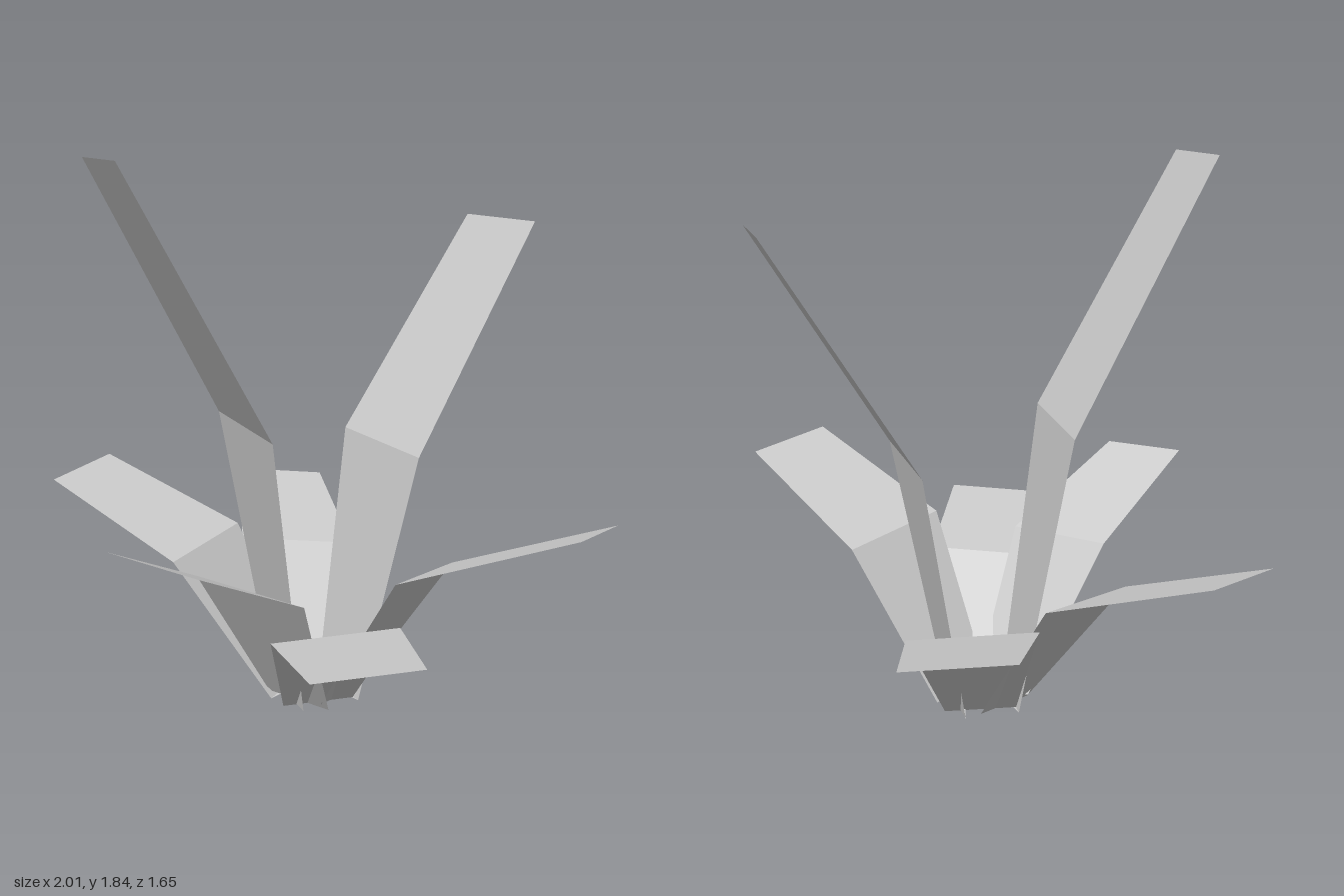
import * as THREE from 'three';

const leafGrey = new THREE.MeshStandardMaterial({ color: 0xcccccc, flatShading: true, side: THREE.DoubleSide });
leafGrey.name = 'leaf grey';

// Folded sheet running outward from the crown; rows are [radius, height, half width],
// roll tips the sheet sideways.
function blade(name, degrees, rows, roll = 0) {
  const points = [], index = [];
  rows.forEach(([r, y, w], i) => {
    points.push(-w, y - roll * w, r, w, y + roll * w, r);
    if (i > 0) {
      const a = 2 * i - 2;
      index.push(a, a + 2, a + 1, a + 1, a + 2, a + 3);
    }
  });
  const geometry = new THREE.BufferGeometry();
  geometry.setAttribute('position', new THREE.Float32BufferAttribute(points, 3));
  geometry.setIndex(index);
  geometry.computeVertexNormals();
  const mesh = new THREE.Mesh(geometry, leafGrey);
  mesh.name = name;
  mesh.rotation.y = THREE.MathUtils.degToRad(degrees);
  return mesh;
}

export function createModel() {
  const plant = new THREE.Group();
  plant.name = 'plant';
  const crown = new THREE.Group();
  crown.name = 'leafCrown';
  crown.position.z = -0.08;
  plant.add(crown);

  // Two tall upright leaves
  const tall = [
    { deg: -21.2, mid: [0.247, 0.975, 0.26], tip: [0.703, 1.835, 0.207] },
    { deg: 163.6, mid: [0.255, 0.875, 0.25], tip: [0.718, 1.62, 0.2] },
  ];
  for (const { deg, mid, tip } of tall) {
    crown.add(blade('tallLeaf', deg, [[0.07, 0.015, 0.035], [0.097, 0.01, 0.145], mid, tip]));
  }

  // Five low spreading leaves: fold and tip given as radius and height
  const low = [
    { deg: -125.5, mid: [0.439, 0.418], tip: [0.965, 0.55], roll: 0.09 },
    { deg: -73.5, mid: [0.442, 0.48], tip: [1.0, 0.685], roll: -0.08 },
    { deg: 15, mid: [0.396, 0.497], tip: [0.891, 0.728], roll: -0.07 },
    { deg: 55.3, mid: [0.434, 0.385], tip: [0.954, 0.472], roll: 0.07 },
    { deg: 105, mid: [0.421, 0.518], tip: [0.998, 0.75], roll: -0.11 },
  ];
  for (const { deg, mid, tip, roll } of low) {
    const rows = [[0.07, 0.015, 0.035], [0.1, 0.012, 0.12], [...mid, 0.205], [...tip, 0.163]];
    crown.add(blade('lowLeaf', deg, rows, roll));
  }

  // Small pointed shoots around the foot
  const shoots = [[106, 0.155], [48, 0.09], [25, 0.14], [165, 0.13], [-110, 0.11], [-65, 0.1]];
  for (const [deg, height] of shoots) {
    crown.add(blade('shoot', deg, [[0.085, 0.01, 0.025], [0.1 + 0.65 * height, height, 0.001]]));
  }
  return plant;
}
